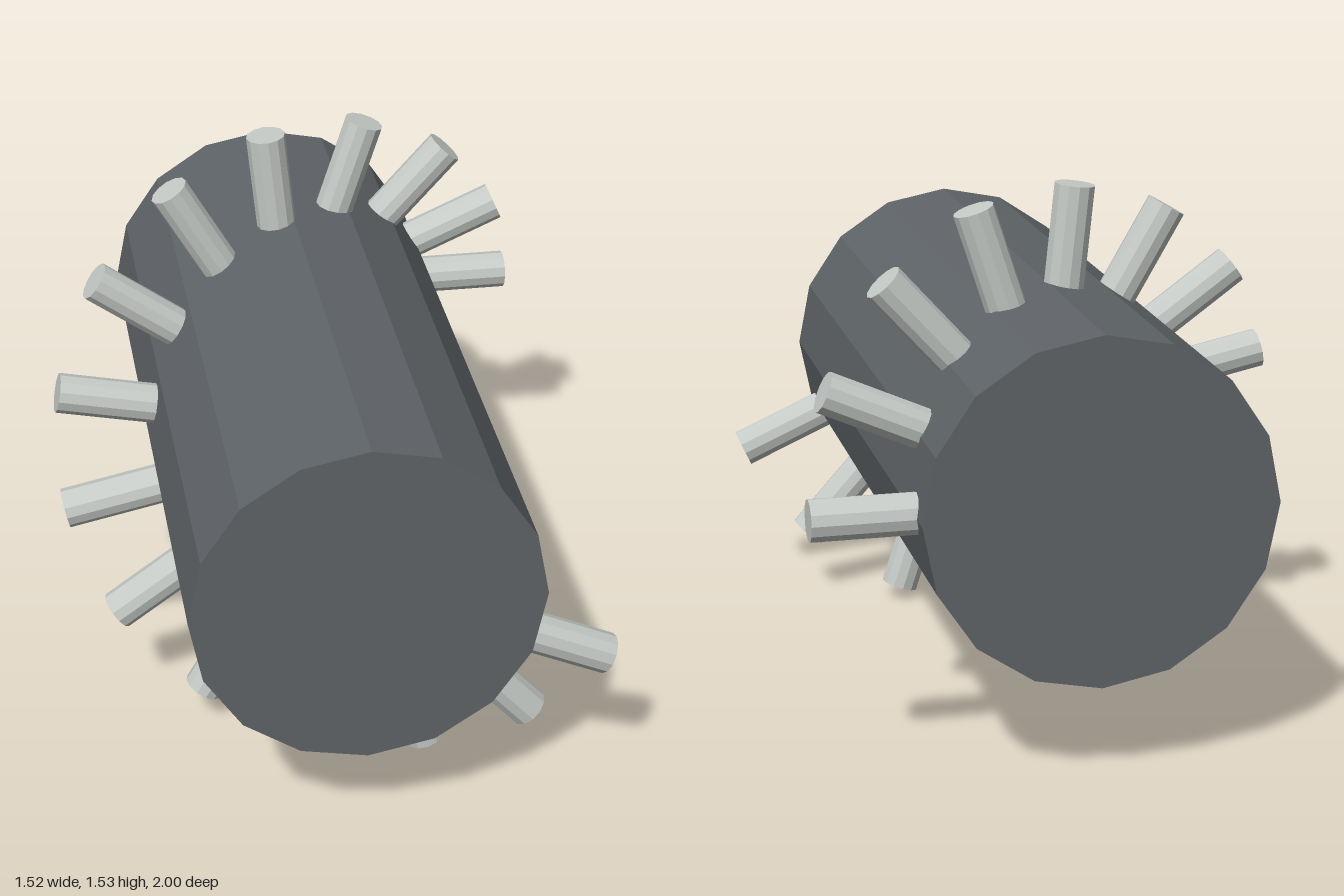
import * as THREE from 'three';

const CENTER_X = -0.003, CENTER_Y = 0.768;
const PEGS = 15, PEG_INNER = 0.45, PEG_OUTER = 0.763, PEG_RADIUS = 0.058;

export function createModel() {
  const model = new THREE.Group();
  model.name = 'peggedDrum';

  const darkSteel = new THREE.MeshStandardMaterial({ color: 0x5f6468, flatShading: true });
  darkSteel.name = 'dark steel';
  const paleMetal = new THREE.MeshStandardMaterial({ color: 0xc6cbc7, flatShading: true });
  paleMetal.name = 'pale metal';

  // Sixteen-sided drum lying along z
  const drumGeometry = new THREE.CylinderGeometry(0.486, 0.486, 2, 16);
  drumGeometry.rotateX(Math.PI / 2);
  const drum = new THREE.Mesh(drumGeometry, darkSteel);
  drum.name = 'drum';
  drum.position.set(CENTER_X, CENTER_Y, 0);
  model.add(drum);

  // Radial pegs winding once around the drum from back to front
  const pegGeometry = new THREE.CylinderGeometry(PEG_RADIUS, PEG_RADIUS, PEG_OUTER - PEG_INNER, 12);
  pegGeometry.rotateZ(-Math.PI / 2);
  pegGeometry.translate((PEG_INNER + PEG_OUTER) / 2, 0, 0);
  const pegs = new THREE.Group();
  pegs.name = 'pegSpiral';
  for (let i = 0; i < PEGS; i++) {
    const peg = new THREE.Mesh(pegGeometry, paleMetal);
    peg.name = `peg${i + 1}`;
    peg.position.set(CENTER_X, CENTER_Y, (i - 7) * 0.1243);
    peg.rotation.z = (i / PEGS) * Math.PI * 2;
    pegs.add(peg);
  }
  model.add(pegs);

  return model;
}
